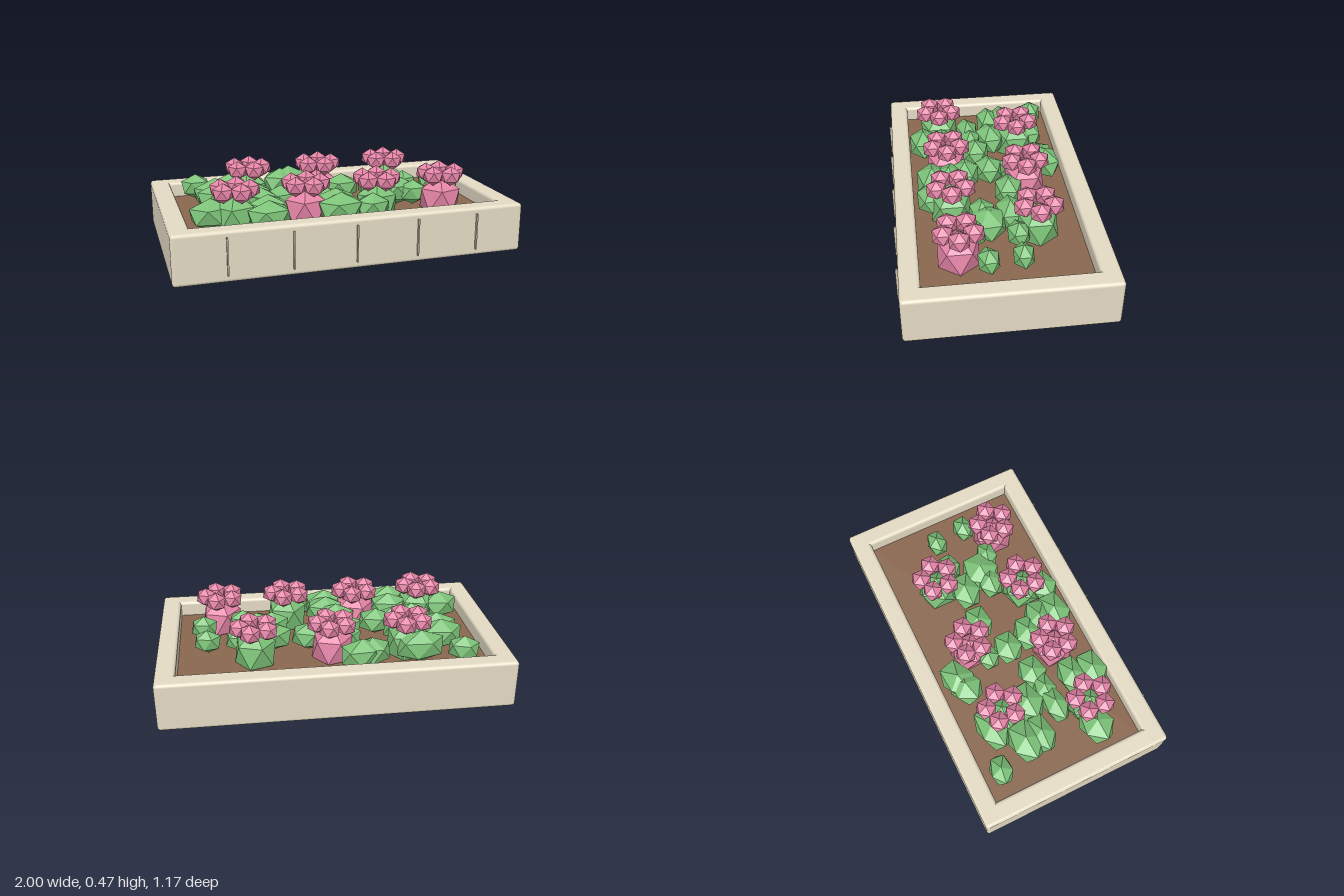
import * as THREE from 'three';
import { RoundedBoxGeometry } from 'three/addons/geometries/RoundedBoxGeometry.js';

const material = (name, color) => {
  const m = new THREE.MeshStandardMaterial({ color });
  m.name = name;
  return m;
};

export function createModel() {
  const stone = material('stone', 0xe4dbc4);
  const joint = material('stone joint', 0xcdc4ae);
  const earth = material('soil', 0x8a674f);
  const green = material('leaf green', 0x7cc278);
  const pink = material('blossom pink', 0xe484a6);

  const model = new THREE.Group();
  model.name = 'flowerBed';
  const add = (name, geometry, mat, x, y, z, parent = model) => {
    const mesh = new THREE.Mesh(geometry, mat);
    mesh.name = name;
    mesh.position.set(x, y, z);
    parent.add(mesh);
    return mesh;
  };

  // Stone border: two long beams with two short beams let in between them
  const height = 0.285, wall = 0.112, midZ = -0.008, halfZ = 0.578;
  const longBeam = new RoundedBoxGeometry(2, height, wall, 3, 0.02);
  const shortBeam = new RoundedBoxGeometry(wall, height, 2 * (halfZ - wall) + 0.08, 3, 0.02);
  for (const side of [-1, 1]) {
    add(side > 0 ? 'frontWall' : 'backWall', longBeam, stone,
      0, height / 2, midZ + side * (halfZ - wall / 2));
    add(side > 0 ? 'leftWall' : 'rightWall', shortBeam, stone,
      side * (1 - wall / 2), height / 2, midZ);
  }

  // Raised joints on the front wall
  for (let i = -2; i <= 2; i++) {
    add('frontJoint', new THREE.BoxGeometry(0.008, 0.21, 0.02), joint, i * 0.355, 0.145, 0.574);
  }

  // Soil bed
  add('soil', new THREE.BoxGeometry(1.78, 0.175, 0.936), earth, 0, 0.1075, midZ);

  // Faceted ball standing on a vertex, shared by leaves and blossoms
  const facet = new THREE.IcosahedronGeometry(1, 0);
  facet.rotateZ(Math.atan(2 / (1 + Math.sqrt(5))));

  // Leaf clumps: x, z, half width, half depth, turn
  const clumps = [
    [-0.74, -0.37, 0.088, 0.062, -0.1], [-0.50, -0.31, 0.14, 0.08, 0.15],
    [-0.21, -0.34, 0.11, 0.085, 0.3], [-0.15, -0.36, 0.125, 0.085, 0.3],
    [-0.65, -0.17, 0.13, 0.09, 0.1], [-0.65, -0.07, 0.12, 0.07, 0],
    [-0.45, -0.06, 0.12, 0.085, 0.1], [-0.30, 0.05, 0.10, 0.078, 0],
    [-0.53, 0.08, 0.12, 0.065, 0.1], [-0.42, 0.07, 0.10, 0.06, 0],
    [-0.10, -0.01, 0.10, 0.078, 0], [-0.10, -0.14, 0.08, 0.06, 0],
    [0.12, -0.10, 0.105, 0.078, -0.1], [0.34, -0.08, 0.115, 0.08, 0],
    [0.53, -0.10, 0.08, 0.06, 0.1], [0.715, -0.10, 0.077, 0.055, 0],
    [0.42, 0.06, 0.12, 0.1, 0.1], [0.735, 0.09, 0.077, 0.057, 0.1],
    [0.33, 0.08, 0.10, 0.07, 0], [0.50, 0.14, 0.085, 0.06, -0.2],
    [-0.74, 0.24, 0.12, 0.09, 0.1], [-0.44, 0.37, 0.12, 0.082, 0],
    [-0.42, 0.25, 0.12, 0.075, 0], [-0.07, 0.14, 0.11, 0.08, -0.1],
    [-0.02, 0.34, 0.13, 0.088, 0], [-0.02, 0.24, 0.125, 0.085, -0.2],
    [0.16, 0.36, 0.10, 0.075, 0.1],
  ];
  for (const [x, z, hx, hz, turn] of clumps) {
    const leaf = add('leafClump', facet, green, x, 0.28, z);
    leaf.scale.set(hx / 0.894, 0.04 + 0.42 * hx, hz / 0.851);
    leaf.rotation.y = turn;
  }

  // Flowers: a faceted core under a ring of five blossoms
  const flowers = [
    [-0.44, -0.22, green], [0, -0.215, pink], [0.445, -0.22, green],
    [-0.61, 0.258, green], [-0.2, 0.24, pink], [0.225, 0.247, green], [0.63, 0.242, pink],
  ];
  for (const [x, z, coreColor] of flowers) {
    const flower = new THREE.Group();
    flower.name = 'flower';
    flower.position.set(x, 0, z);
    model.add(flower);
    add('flowerCore', facet, coreColor, 0, 0.262, 0, flower).scale.set(0.132, 0.14, 0.132);
    for (let k = 0; k < 5; k++) {
      const a = (k / 5) * Math.PI * 2;
      add('blossom', facet, pink, 0.087 * Math.cos(a), 0.411, 0.087 * Math.sin(a), flower)
        .scale.set(0.064, 0.058, 0.064);
    }
  }
  return model;
}
